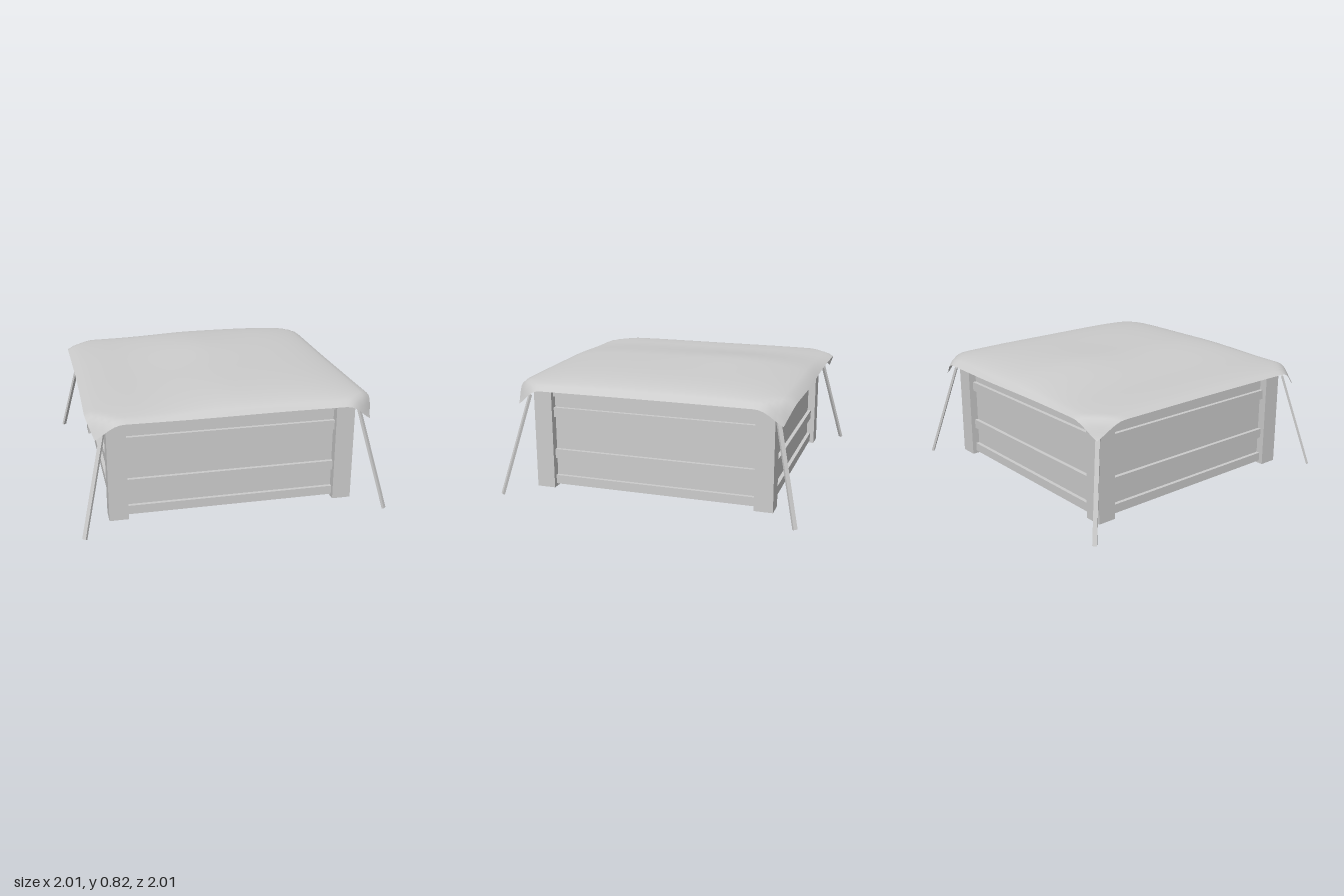
import * as THREE from 'three';

const mat = new THREE.MeshStandardMaterial({ color: 0xcccccc });
const clothMat = new THREE.MeshStandardMaterial({ color: 0xcccccc, side: THREE.DoubleSide });

function addMesh(parent, name, geometry, x = 0, y = 0, z = 0, material = mat) {
  const mesh = new THREE.Mesh(geometry, material);
  mesh.name = name;
  mesh.position.set(x, y, z);
  parent.add(mesh);
  return mesh;
}

// Square slab between two heights
function slab(parent, name, half, y0, y1) {
  addMesh(parent, name, new THREE.BoxGeometry(half * 2, y1 - y0, half * 2), 0, (y0 + y1) / 2, 0);
}

// Draped sheet: domed top, straight hems and drooping corners
function coverGeometry() {
  const n = 48;
  const g = new THREE.PlaneGeometry(2, 2, n, n).rotateX(-Math.PI / 2);
  const p = g.attributes.position;
  const smooth = THREE.MathUtils.smoothstep;
  for (let i = 0; i < p.count; i++) {
    const u = p.getX(i), v = p.getZ(i);
    const corner = smooth(Math.abs(u * v), 0.76, 1.06) / smooth(1, 0.76, 1.06);
    const dome = Math.sqrt(Math.max(0, (1 - u ** 4) * (1 - v ** 4)));
    // Left side sags, the middle rises to a low ridge
    const rise = 0.045 + 0.045 * smooth(u, -0.65, 0.05)
      + 0.012 * Math.exp(-(u * u + (v + 0.35) ** 2) / 0.12);
    const pull = 1 - 0.05 * corner;
    const wave = 0.004 * Math.sin(u * 5 + v * 3);
    p.setXYZ(i,
      (0.932 * u + wave * Math.abs(u)) * pull,
      0.72 + rise * dome - 0.108 * corner,
      (0.93 * v + wave * Math.abs(v)) * pull);
  }
  g.computeVertexNormals();
  return g;
}

// Stepped plate with a curved lower edge
function plateGeometry() {
  const s = new THREE.Shape();
  s.moveTo(-0.685, 0.295);
  s.lineTo(-0.17, 0.295);
  s.bezierCurveTo(-0.06, 0.295, -0.09, 0.44, 0.04, 0.44);
  s.lineTo(0.2, 0.44);
  s.lineTo(0.2, 0.505);
  s.lineTo(-0.685, 0.505);
  s.closePath();
  return new THREE.ExtrudeGeometry(s, { depth: 0.012, bevelEnabled: false, curveSegments: 12 });
}

export function createModel() {
  const model = new THREE.Group();
  model.name = 'coveredCrate';

  // Crate body with raised rails running round all four walls
  const crate = new THREE.Group();
  crate.name = 'crate';
  model.add(crate);
  slab(crate, 'wallPanels', 0.76, 0.04, 0.7);
  for (const [y0, y1] of [[0.04, 0.1], [0.22, 0.285], [0.51, 0.575], [0.65, 0.715]]) {
    slab(crate, 'rail', 0.785, y0, y1);
  }
  addMesh(crate, 'frontPlate', plateGeometry(), 0, 0, 0.757);

  // Corner posts and the slanted tie straps beside them
  for (const sx of [-1, 1]) {
    for (const sz of [-1, 1]) {
      addMesh(crate, 'cornerPost', new THREE.BoxGeometry(0.125, 0.68, 0.125), sx * 0.752, 0.36, sz * 0.752);

      const top = new THREE.Vector3(sx * 0.832, 0.665, sz * 0.832);
      const foot = new THREE.Vector3(sx * 0.988, 0.004, sz * 0.988);
      const strap = addMesh(model, 'tieStrap', new THREE.BoxGeometry(0.028, 0.016, foot.distanceTo(top)));
      strap.position.copy(top).add(foot).multiplyScalar(0.5);
      strap.lookAt(top);
    }
  }

  addMesh(model, 'cover', coverGeometry(), 0, 0, 0, clothMat);
  return model;
}
